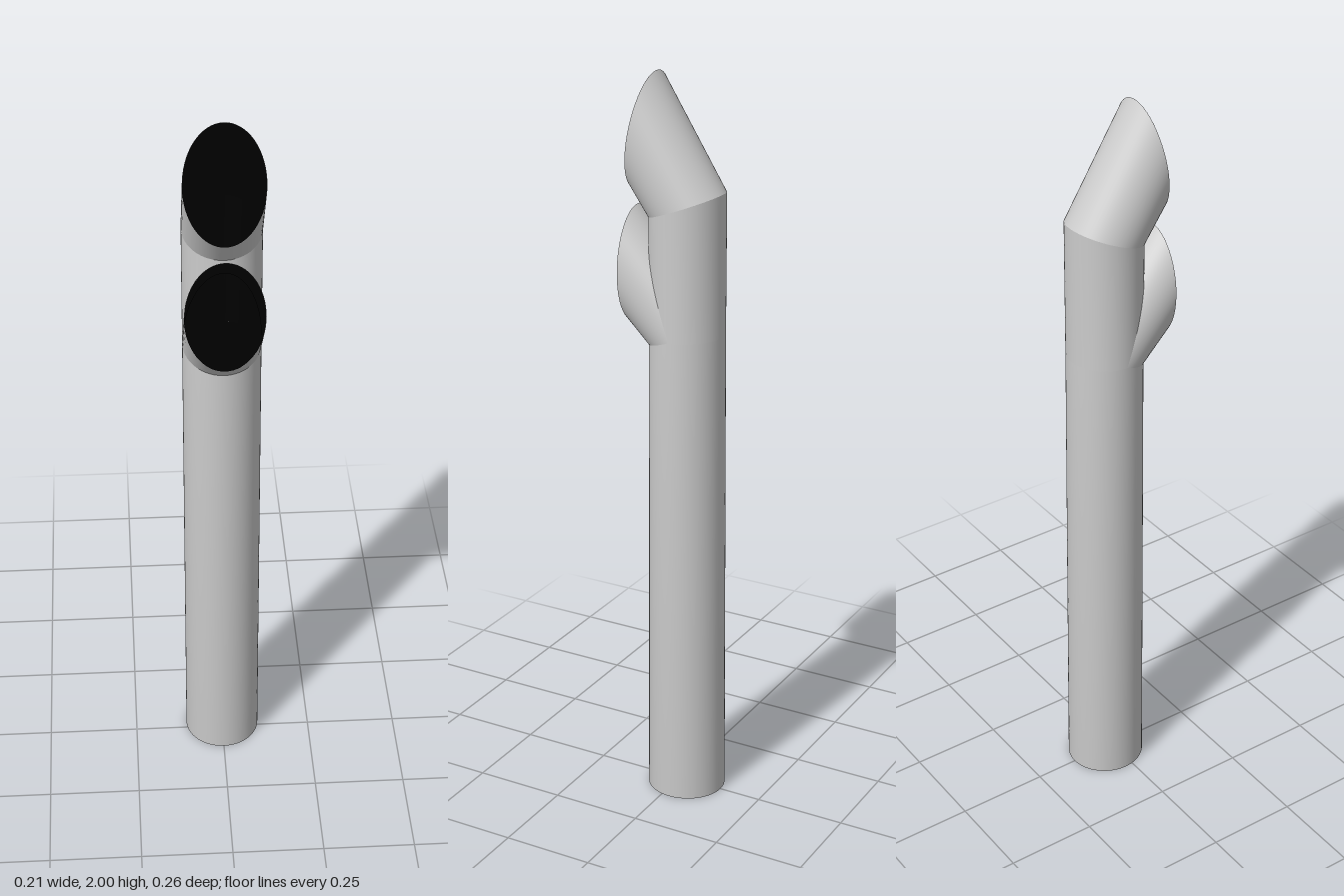
import * as THREE from 'three';

const SIDES = 64;
const RX = 0.102;       // pipe radius across
const RZ = 0.099;       // pipe radius in depth near the top
const AXIS_Z = -0.023;  // pipe axis
const FORK_Y = 1.327;   // height where the branch axis meets the pipe axis
const SKIN = 0.001;     // wall thickness

const steel = new THREE.MeshStandardMaterial({ color: 0xcccccc, side: THREE.DoubleSide });
const soot = new THREE.MeshStandardMaterial({ color: 0x000000, side: THREE.DoubleSide });

// Wall between two rings; each ring maps (sin, cos) of the angle to a point.
// An optional floor point closes the lower ring.
function wall(lower, upper, floor) {
  const pos = [], index = [];
  for (let i = 0; i < SIDES; i++) {
    const a = (i / SIDES) * Math.PI * 2;
    const s = Math.sin(a), c = Math.cos(a);
    pos.push(...lower(s, c), ...upper(s, c));
    const p = i * 2, q = ((i + 1) % SIDES) * 2;
    index.push(p, q, p + 1, q, q + 1, p + 1);
    if (floor) index.push(SIDES * 2, q, p);
  }
  if (floor) pos.push(...floor);
  const geo = new THREE.BufferGeometry();
  geo.setAttribute('position', new THREE.Float32BufferAttribute(pos, 3));
  geo.setIndex(index);
  geo.computeVertexNormals();
  return geo;
}

// Lining: the same surface moved inwards by the wall thickness and facing inwards
function lining(geo) {
  const inner = geo.clone();
  const p = inner.attributes.position, n = inner.attributes.normal;
  for (let i = 0; i < p.count; i++) {
    p.setXYZ(i, p.getX(i) - SKIN * n.getX(i), p.getY(i) - SKIN * n.getY(i), p.getZ(i) - SKIN * n.getZ(i));
  }
  inner.setIndex(Array.from(geo.index.array).reverse());
  inner.computeVertexNormals();
  return inner;
}

// Slanted elliptical ring given its front and back points as [z, y]
function slantRing([fz, fy], [bz, by], rx = RX) {
  return (s, c) => [
    rx * s,
    (fy + by) / 2 + (c * (fy - by)) / 2,
    (fz + bz) / 2 + (c * (fz - bz)) / 2,
  ];
}

// Outer steel skin plus dark lining
function addPart(group, name, geo) {
  const part = new THREE.Group();
  part.name = name;
  const outside = new THREE.Mesh(geo, steel);
  outside.name = name + 'Outside';
  const inside = new THREE.Mesh(lining(geo), soot);
  inside.name = name + 'Lining';
  part.add(outside, inside);
  group.add(part);
}

export function createModel() {
  const group = new THREE.Group();
  group.name = 'doubleMouthPipe';

  // Rings of the pipe and of the V-shaped notch where the branch joins
  const foot = slantRing([AXIS_Z + 0.107, 0], [AXIS_Z - 0.107, 0], 0.104);
  const notch = (slope) => (s, c) => [RX * s, FORK_Y + slope * RZ * Math.max(c, 0), AXIS_Z + RZ * c];
  const mitre = slantRing([AXIS_Z + RZ, 1.63], [AXIS_Z - RZ, 1.704]);

  // Upright pipe below the fork with its closed foot, and above it
  addPart(group, 'lowerPipe', wall(foot, notch(-0.37), [0, 0, AXIS_Z]));
  addPart(group, 'upperPipe', wall(notch(2.7), mitre));

  // Bent top with its slanted open mouth
  addPart(group, 'topMouth', wall(mitre, slantRing([0.124, 1.695], [0.065, 2.0])));

  // Front branch, its lower half on the low notch edge, its upper half on the high one
  const root = (s, c) => [
    RX * s,
    FORK_Y - (c > 0 ? 0.37 : 2.7) * RZ * c,
    AXIS_Z + RZ * Math.abs(c),
  ];
  addPart(group, 'branchMouth', wall(root, slantRing([0.131, 1.34], [0.123, 1.651])));

  return group;
}
